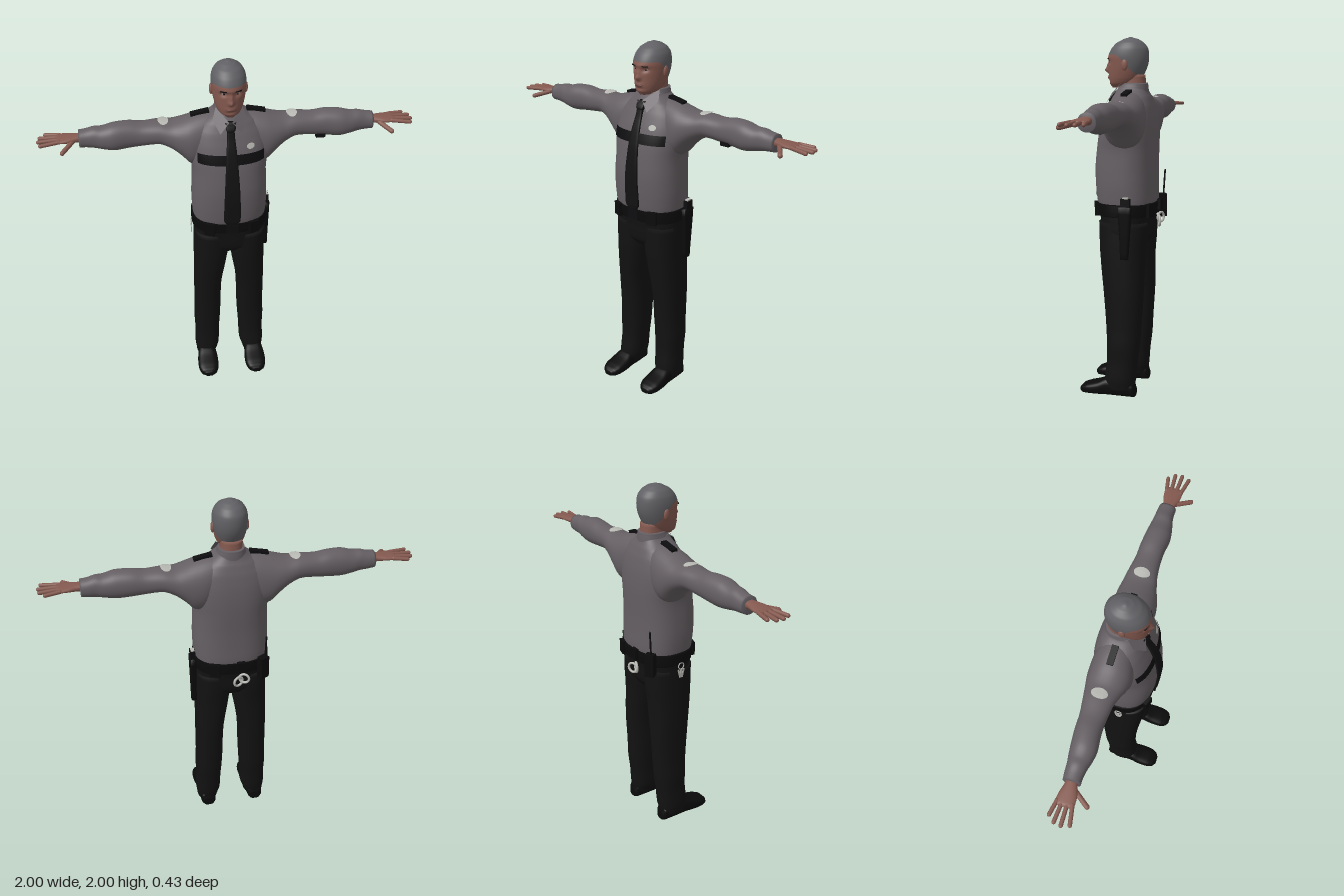
import * as THREE from 'three';

const mat = (name, color, side = THREE.FrontSide) => {
  const m = new THREE.MeshStandardMaterial({ color, side });
  m.name = name;
  return m;
};
const V = (x, y, z) => new THREE.Vector3(x, y, z);

// Place (along, cos, sin) on the axes of a loft so that its faces look outward
const place = {
  x: (t, c, s) => [t, s, c],
  y: (t, c, s) => [c, t, s],
  z: (t, c, s) => [s, c, t],
};

// Smooth rows between sections [t, cosLow, cosHigh, sinLow, sinHigh]
function smoothRows(sections, steps) {
  const rows = [], last = sections.length - 1;
  const at = (i, k) => sections[Math.min(last, Math.max(0, i))][k];
  for (let i = 0; i < last; i++) for (let j = 0; j < steps; j++) {
    const f = j / steps;
    rows.push([0, 1, 2, 3, 4].map(k => {
      const p0 = at(i - 1, k), p1 = at(i, k), p2 = at(i + 1, k), p3 = at(i + 2, k);
      if (k === 0) return p1 + (p2 - p1) * f;
      const a = (p2 - p0) / 2, b = (p3 - p1) / 2;
      return p1 + a * f + (3 * (p2 - p1) - 2 * a - b) * f * f + (2 * (p1 - p2) + a + b) * f * f * f;
    }));
  }
  rows.push(sections[last].slice());
  return rows;
}

// Closed body through rounded sections
function loft(axis, sections, { n = 2.3, sides = 32, steps = 4 } = {}) {
  const rows = smoothRows(sections, steps), pos = [], idx = [];
  const put = place[axis];
  const round = v => Math.sign(v) * Math.abs(v) ** (2 / n);
  for (const [t, c0, c1, s0, s1] of rows) for (let i = 0; i < sides; i++) {
    const a = i / sides * Math.PI * 2;
    pos.push(...put(t, (c0 + c1) / 2 + (c1 - c0) / 2 * round(Math.cos(a)), (s0 + s1) / 2 + (s1 - s0) / 2 * round(Math.sin(a))));
  }
  for (let r = 0; r < rows.length - 1; r++) for (let i = 0; i < sides; i++) {
    const a = r * sides + i, b = r * sides + (i + 1) % sides;
    idx.push(a, a + sides, b, b, a + sides, b + sides);
  }
  [0, rows.length - 1].forEach((r, end) => {
    const [t, c0, c1, s0, s1] = rows[r], mid = pos.length / 3;
    pos.push(...put(t, (c0 + c1) / 2, (s0 + s1) / 2));
    for (let i = 0; i < sides; i++) {
      const a = r * sides + i, b = r * sides + (i + 1) % sides;
      idx.push(...(end ? [a, mid, b] : [a, b, mid]));
    }
  });
  const g = new THREE.BufferGeometry();
  g.setAttribute('position', new THREE.Float32BufferAttribute(pos, 3));
  g.setIndex(idx);
  g.computeVertexNormals();
  g.userData = { rows, n, axis };
  return g;
}

// Thin patch lying on the high side of a loft; it can be oval
function patch(body, t0, t1, c0, c1, oval = false) {
  const { rows, n, axis } = body.userData;
  const g = new THREE.PlaneGeometry(2, 2, 12, 12), p = g.attributes.position;
  for (let i = 0; i < p.count; i++) {
    let u = p.getX(i), v = p.getY(i);
    if (oval) [u, v] = [u * Math.sqrt(1 - v * v / 2), v * Math.sqrt(1 - u * u / 2)];
    const t = (t0 + t1) / 2 + v * (t1 - t0) / 2, c = (c0 + c1) / 2 + u * (c1 - c0) / 2;
    let k = 0;
    while (k < rows.length - 2 && rows[k + 1][0] < t) k++;
    const f = (t - rows[k][0]) / (rows[k + 1][0] - rows[k][0]);
    const [, a, b, lo, hi] = rows[k].map((x, j) => x + (rows[k + 1][j] - x) * f);
    const q = Math.min(1, Math.abs((c - (a + b) / 2) / ((b - a) / 2)));
    const s = (lo + hi) / 2 + (hi - lo) / 2 * (1 - q ** n) ** (1 / n);
    p.setXYZ(i, ...place[axis](t, c, s + 0.006));
  }
  g.computeVertexNormals();
  return g;
}

export function createModel() {
  const shirt = mat('shirt grey', 0x655f63, THREE.DoubleSide);
  const hair = mat('hair grey', 0x606064);
  const skin = mat('skin', 0x84594f);
  const lips = mat('lips', 0x6b423d);
  const black = mat('black cloth', 0x121213);
  const leather = mat('black leather', 0x0b0b0c);
  const trim = mat('trim black', 0x0e0e10, THREE.DoubleSide);
  const silver = mat('silver', 0xb9b9b4, THREE.DoubleSide);
  const eyeWhite = mat('eye white', 0x8f8782);

  const model = new THREE.Group();
  const add = (parent, name, geo, m, x = 0, y = 0, z = 0) => {
    const mesh = new THREE.Mesh(geo, m);
    mesh.name = name;
    mesh.position.set(x, y, z);
    parent.add(mesh);
    return mesh;
  };
  const box = (w, h, d) => new THREE.BoxGeometry(w, h, d);
  const rod = (parent, name, a, b, r, m) => {
    const mesh = add(parent, name, new THREE.CapsuleGeometry(r, a.distanceTo(b), 6, 12), m);
    mesh.position.copy(a).lerp(b, 0.5);
    mesh.quaternion.setFromUnitVectors(V(0, 1, 0), b.clone().sub(a).normalize());
  };

  // Head: smooth skull, face pushed in and out by soft bumps
  const headGeo = loft('y', [
    [1.73, -.03, .03, -.02, .065], [1.75, -.058, .058, -.07, .078], [1.78, -.073, .073, -.10, .082],
    [1.82, -.083, .083, -.122, .083], [1.86, -.089, .089, -.136, .084], [1.90, -.091, .091, -.14, .085],
    [1.94, -.084, .084, -.134, .067], [1.97, -.066, .066, -.112, .038], [1.99, -.038, .038, -.08, 0], [2.0, -.008, .008, -.045, -.03],
  ], { n: 2.1, sides: 64, steps: 6 });
  const bumps = [ // x, y, push, spread x, spread y
    [0, 1.822, .024, .012, .014], [0, 1.848, .014, .009, .02], [.036, 1.866, -.013, .018, .012], [-.036, 1.866, -.013, .018, .012],
    [0, 1.785, .007, .022, .012], [0, 1.765, -.005, .025, .006], [0, 1.886, .004, .05, .008],
  ];
  const hp = headGeo.attributes.position;
  for (let i = 0; i < hp.count; i++) {
    if (hp.getZ(i) < 0) continue;
    const x = hp.getX(i), y = hp.getY(i);
    hp.setZ(i, bumps.reduce((z, [bx, by, d, sx, sy]) => z + d * Math.exp(-(((x - bx) / sx) ** 2) - ((y - by) / sy) ** 2), hp.getZ(i)));
  }
  headGeo.computeVertexNormals();
  // Cropped hair: faces above a hairline that drops toward the nape
  const hi = headGeo.index.array, hairFaces = [], skinFaces = [];
  for (let i = 0; i < hi.length; i += 3) {
    const f = [hi[i], hi[i + 1], hi[i + 2]];
    const y = f.reduce((s, k) => s + hp.getY(k) / 3, 0), z = f.reduce((s, k) => s + hp.getZ(k) / 3, 0);
    const line = 1.80 + .105 * THREE.MathUtils.smoothstep(z, -.1, .03);
    (y > line ? hairFaces : skinFaces).push(...f);
  }
  headGeo.setIndex([...skinFaces, ...hairFaces]);
  headGeo.addGroup(0, skinFaces.length, 0);
  headGeo.addGroup(skinFaces.length, hairFaces.length, 1);
  add(model, 'head', headGeo, [skin, hair]);
  add(model, 'neck', loft('y', [[1.66, -.068, .068, -.13, .02], [1.74, -.06, .06, -.125, .015], [1.80, -.058, .058, -.12, .01]]), skin);
  add(model, 'mouth', new THREE.SphereGeometry(1, 16, 10), lips, 0, 1.783, .083).scale.set(.024, .007, .008);

  // Shirt body, open collar, tie and chest details
  const torso = loft('y', [
    [1.07, -.198, .198, -.185, .125], [1.12, -.203, .203, -.19, .135], [1.2, -.206, .206, -.188, .143], [1.3, -.203, .203, -.187, .146],
    [1.4, -.2, .2, -.19, .137], [1.48, -.208, .208, -.19, .124], [1.56, -.206, .206, -.184, .102], [1.63, -.185, .185, -.17, .075],
    [1.68, -.14, .14, -.152, .052], [1.71, -.095, .095, -.137, .036], [1.735, -.07, .07, -.13, .025],
  ], { n: 2.5, sides: 48 });
  add(model, 'shirtBody', torso, shirt);
  add(model, 'collarBand', loft('y', [[1.69, -.084, .084, -.14, .036], [1.73, -.075, .075, -.137, .024], [1.755, -.068, .068, -.134, .008]]), shirt);
  add(model, 'tie', loft('y', [
    [1.105, -.03, .03, .125, .146], [1.13, -.045, .045, .13, .151], [1.3, -.042, .042, .138, .157], [1.45, -.034, .034, .12, .141],
    [1.55, -.027, .027, .095, .116], [1.65, -.019, .019, .06, .083], [1.66, -.024, .024, .056, .084], [1.697, -.03, .03, .04, .066],
  ], { n: 4, sides: 24 }), black);
  add(model, 'badge', patch(torso, 1.557, 1.587, .08, .122, true), silver);

  // Trousers, belt and carried gear
  add(model, 'hips', loft('y', [[.87, -.12, .12, -.14, .075], [.91, -.192, .192, -.163, .102], [1.0, -.2, .2, -.172, .112], [1.06, -.2, .2, -.18, .118]], { n: 2.6 }), black);
  add(model, 'belt', loft('y', [[1.035, -.206, .206, -.19, .126], [1.04, -.21, .21, -.194, .13], [1.098, -.21, .21, -.196, .134], [1.105, -.206, .206, -.192, .13]], { n: 2.5, sides: 48, steps: 1 }), leather);
  add(model, 'buckle', box(.07, .055, .012), trim, 0, 1.07, .134);
  const holster = new THREE.Group();
  holster.name = 'holster';
  model.add(holster);
  add(holster, 'holsterBody', loft('y', [[.81, .2, .23, -.09, -.045], [.95, .2, .233, -.1, -.04], [1.1, .2, .236, -.11, -.03]], { n: 4 }), leather);
  add(holster, 'pistolGrip', box(.026, .05, .05), trim, .218, 1.12, -.075);
  add(holster, 'gripPlate', box(.02, .008, .03), silver, .218, 1.148, -.075);
  for (const [x, z, turn] of [[.12, .117, .35], [-.12, .117, -.35], [.11, -.18, -.3]])
    add(model, 'beltPouch', box(.055, .075, .03), leather, x, 1.07, z).rotation.y = turn;
  add(model, 'radio', box(.052, .13, .04), leather, -.155, 1.06, -.185).rotation.y = .5;
  rod(model, 'radioAntenna', V(-.165, 1.12, -.187), V(-.167, 1.26, -.195), .005, trim);
  add(model, 'cuffStrap', box(.045, .06, .02), leather, -.03, 1.085, -.2);
  for (const s of [-1, 1]) {
    const cuff = add(model, 'handcuff', new THREE.TorusGeometry(.027, .007, 8, 24), silver, -.03 + s * .016, 1.0 - s * .008, -.203);
    cuff.rotation.y = s * .4;
  }
  add(model, 'keyRing', new THREE.TorusGeometry(.018, .003, 6, 20), silver, -.213, 1.03, -.02).rotation.y = Math.PI / 2;
  for (const k of [-1, 0, 1])
    add(model, 'key', box(.004, .05, .01), silver, -.213, .985, -.02 + k * .012).rotation.x = k * .25;
  add(model, 'sleeveTag', box(.05, .022, .03), trim, .495, 1.54, -.025);

  // Paired parts, built on the +x side and mirrored
  const armGeo = loft('x', [
    [.08, -.15, .03, 1.5, 1.708], [.14, -.165, .05, 1.42, 1.702], [.2, -.168, .058, 1.415, 1.688], [.25, -.163, .048, 1.468, 1.672],
    [.3, -.153, .03, 1.512, 1.662], [.36, -.142, .014, 1.54, 1.666], [.45, -.13, .004, 1.535, 1.662], [.52, -.128, .004, 1.528, 1.672],
    [.6, -.122, .012, 1.522, 1.67], [.66, -.115, .004, 1.532, 1.655], [.7, -.108, -.006, 1.54, 1.655], [.74, -.106, -.012, 1.545, 1.645],
    [.78, -.102, -.012, 1.548, 1.64],
  ], { n: 2.2, sides: 36 });
  const legGeo = loft('y', [
    [.035, .085, .203, -.1, .06], [.1, .066, .21, -.112, .066], [.2, .062, .207, -.12, .056], [.3, .055, .21, -.132, .056],
    [.4, .05, .206, -.138, .06], [.6, .043, .205, -.15, .076], [.8, .012, .202, -.154, .098], [.9, .001, .2, -.163, .105], [1.0, .001, .198, -.165, .108],
  ], { n: 2.4 });
  const shoeGeo = loft('z', [
    [-.112, 0, .05, .115, .175], [-.1, 0, .08, .102, .188], [-.03, 0, .1, .094, .196], [.05, 0, .1, .09, .2],
    [.1, 0, .078, .084, .207], [.16, 0, .06, .086, .206], [.195, 0, .046, .1, .192], [.21, .004, .03, .122, .17],
  ], { n: 3 });
  const collarGeo = new THREE.BufferGeometry();
  collarGeo.setAttribute('position', new THREE.Float32BufferAttribute([.008, 1.7, .066, .055, 1.645, .085, .09, 1.7, .03, .07, 1.756, -.005], 3));
  collarGeo.setIndex([0, 1, 2, 0, 2, 3]);
  collarGeo.computeVertexNormals();

  for (const s of [1, -1]) {
    const side = new THREE.Group();
    side.name = s > 0 ? 'leftSide' : 'rightSide';
    side.scale.x = s;
    model.add(side);
    add(side, 'sleeve', armGeo, shirt);
    add(side, 'shoulderPatch', patch(armGeo, .312, .368, -.105, -.02, true), silver);
    add(side, 'epaulet', box(.1, .016, .034), trim, .148, 1.704, -.058).rotation.z = -.2;
    add(side, 'collarPoint', collarGeo, shirt);
    add(side, 'pocketFlap', patch(torso, 1.48, 1.535, .025, .175), trim);
    add(side, 'trouserLeg', legGeo, black);
    add(side, 'shoe', shoeGeo, leather);
    // Face details
    add(side, 'ear', new THREE.SphereGeometry(1, 16, 12), skin, .09, 1.852, -.03).scale.set(.01, .03, .018);
    add(side, 'eye', new THREE.SphereGeometry(1, 16, 10), eyeWhite, .035, 1.866, .059).scale.set(.013, .006, .01);
    add(side, 'pupil', new THREE.SphereGeometry(.005, 12, 8), trim, .035, 1.866, .066);
    add(side, 'eyebrow', box(.034, .005, .008), trim, .037, 1.885, .077).rotation.y = .35;
    // Hand with spread fingers
    add(side, 'palm', loft('x', [
      [.76, -.085, -.03, 1.578, 1.622], [.8, -.088, -.02, 1.582, 1.62], [.84, -.098, -.008, 1.586, 1.617], [.885, -.102, -.006, 1.59, 1.613], [.9, -.096, -.012, 1.595, 1.609],
    ]), skin);
    [[-.093, .955, -.107], [-.068, .982, -.075], [-.042, .988, -.038], [-.017, .975, .002]].forEach(([z, tx, tz]) =>
      rod(side, 'finger', V(.88, 1.602, z), V(tx, 1.597, tz), .0105, skin));
    rod(side, 'thumb', V(.81, 1.595, -.03), V(.865, 1.575, .048), .0125, skin);
  }
  return model;
}
